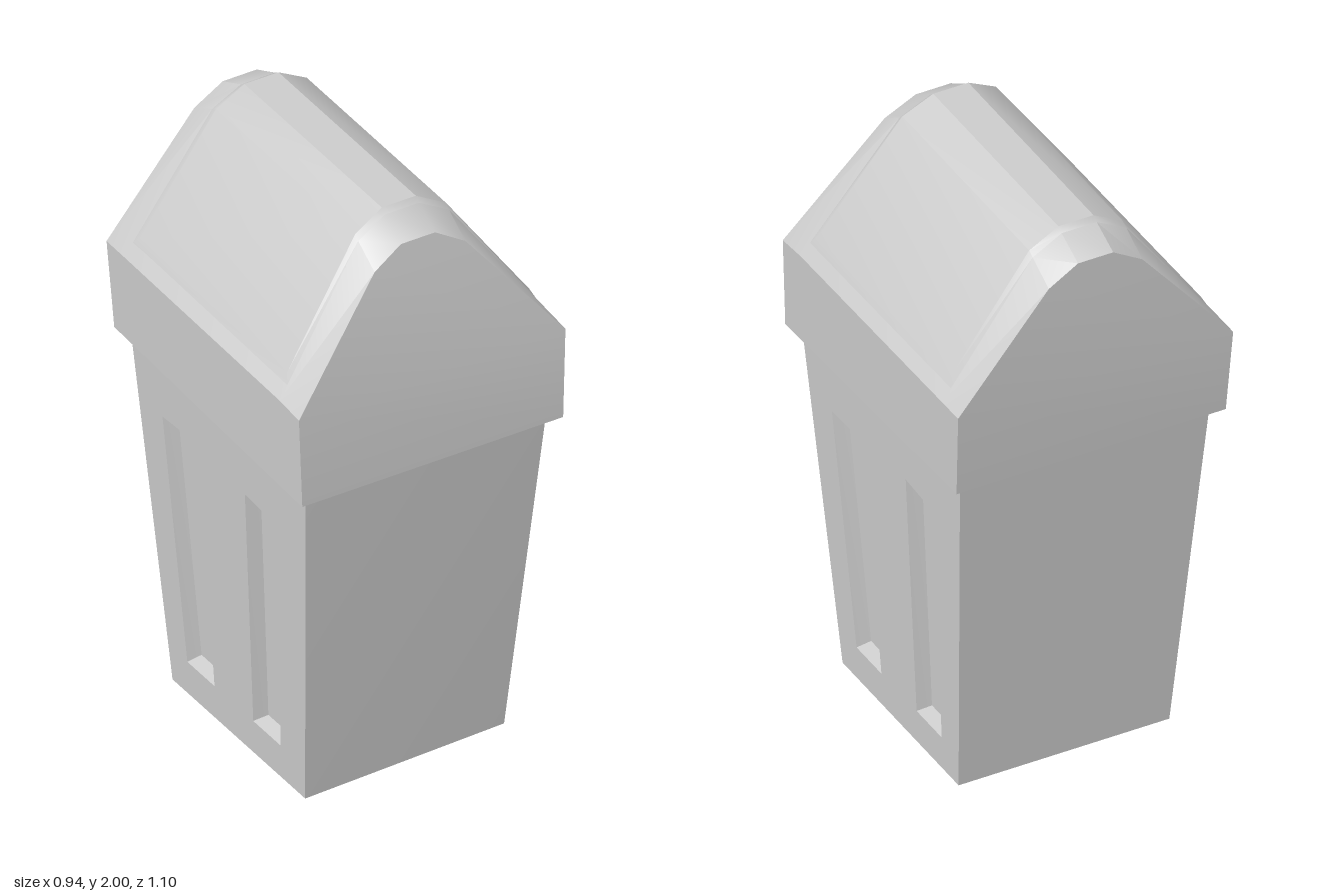
import * as THREE from 'three';
import { toCreasedNormals } from 'three/addons/utils/BufferGeometryUtils.js';

const V = (x, y, z) => new THREE.Vector3(x, y, z);

// Collects triangles and quads given counter-clockwise from outside
class Faces {
  constructor() { this.pos = []; }
  poly(points, flip = false) {
    const p = flip ? [...points].reverse() : points;
    for (let i = 1; i < p.length - 1; i++) {
      const area = V().crossVectors(p[i].clone().sub(p[0]), p[i + 1].clone().sub(p[0]));
      if (area.length() < 1e-8) continue;
      for (const q of [p[0], p[i], p[i + 1]]) this.pos.push(q.x, q.y, q.z);
    }
  }
  mesh(name, crease) {
    const geo = new THREE.BufferGeometry();
    geo.setAttribute('position', new THREE.Float32BufferAttribute(this.pos, 3));
    geo.computeVertexNormals();
    const mesh = new THREE.Mesh(toCreasedNormals(geo, crease),
      new THREE.MeshStandardMaterial({ color: 0xcccccc }));
    mesh.name = name;
    return mesh;
  }
}

// Half profile (right side, from the bottom up) mirrored into a full arch
const arch = (half) => {
  const right = half.map((p) => V(...p));
  return [...right, ...right.map((p) => V(-p.x, p.y, p.z)).reverse()];
};

// Skins arches ordered from front to back
function loft(faces, rings, closed) {
  const n = rings[0].length;
  for (let i = 0; i < rings.length - 1; i++) {
    for (let j = 0; j < (closed ? n : n - 1); j++) {
      const k = (j + 1) % n;
      faces.poly([rings[i][j], rings[i + 1][j], rings[i + 1][k], rings[i][k]]);
    }
  }
}

function capEnd(faces, ring, flip) {
  const n = ring.length;
  for (let j = 0; j < n / 2 - 1; j++) {
    faces.poly([ring[j], ring[j + 1], ring[n - 2 - j], ring[n - 1 - j]], flip);
  }
}

// Tapered bin body with two sunken slots in each side
function buildBody() {
  const faces = new Faces();
  const halfWidth = (y) => 0.36 + 0.055 * y;
  const slotDepth = 0.045;
  // Each slot: outer rim and floor, as (z, y)
  const slots = [
    { rim: [[0.12, 0.12], [0.275, 0.12], [0.345, 0.96], [0.148, 0.97]],
      floor: [[0.135, 0.135], [0.265, 0.135], [0.325, 0.93], [0.165, 0.94]] },
    { rim: [[-0.255, 0.12], [-0.1, 0.12], [-0.12, 1.0], [-0.32, 0.985]],
      floor: [[-0.245, 0.135], [-0.115, 0.135], [-0.14, 0.965], [-0.302, 0.965]] },
  ];
  const toVec = (list) => list.map((p) => new THREE.Vector2(...p));
  const frontFoot = { 1: 0.375, [-1]: 0.405 };

  for (const side of [1, -1]) {
    const flip = side > 0;
    const place = (z, y, depth = 0) => V(side * (halfWidth(y) - depth), y, z);
    const shape = new THREE.Shape(toVec(
      [[-0.35, 0], [frontFoot[side], 0], [0.51, 1.17], [-0.48, 1.208]]));
    slots.forEach((s) => shape.holes.push(new THREE.Path(toVec(s.rim))));

    // side panel around the slots
    const wall = new THREE.ShapeGeometry(shape).toNonIndexed().attributes.position;
    for (let i = 0; i < wall.count; i += 3) {
      faces.poly([0, 1, 2].map((k) => place(wall.getX(i + k), wall.getY(i + k))), flip);
    }
    // slot walls and floors
    for (const { rim, floor } of slots) {
      const outer = rim.map(([z, y]) => place(z, y));
      const inner = floor.map(([z, y]) => place(z, y, slotDepth));
      faces.poly(inner, flip);
      for (let k = 0; k < 4; k++) {
        const m = (k + 1) % 4;
        faces.poly([outer[k], outer[m], inner[m], inner[k]], flip);
      }
    }
  }

  // front, back and underside
  const corner = (s, y, z) => V(s * halfWidth(y), y, z);
  const frontL = corner(-1, 0, frontFoot[-1]), frontR = corner(1, 0, frontFoot[1]);
  const backL = corner(-1, 0, -0.35), backR = corner(1, 0, -0.35);
  faces.poly([frontL, frontR, corner(1, 1.17, 0.51), corner(-1, 1.17, 0.51)]);
  faces.poly([backR, backL, corner(-1, 1.208, -0.48), corner(1, 1.208, -0.48)]);
  faces.poly([backL, backR, frontR, frontL]);
  return faces.mesh('body', 0.3);
}

// Peaked lid with overhanging skirt and sloped ends
function buildLid() {
  const faces = new Faces();
  const base = (z) => [0.46, 1.17 + 0.04 * (0.55 - z) / 1.07, z];
  const rings = [
    [base(0.55), [0.47, 1.483, 0.547], [0.16, 1.87, 0.477], [0.06, 1.93, 0.466]],
    [base(0.44), [0.47, 1.493, 0.437], [0.16, 1.93, 0.384], [0.06, 1.985, 0.375]],
    [base(-0.43), [0.47, 1.507, -0.45], [0.16, 1.933, -0.447], [0.06, 1.987, -0.445]],
    [base(-0.52), [0.47, 1.508, -0.548], [0.16, 1.88, -0.548], [0.06, 1.94, -0.548]],
  ].map(arch);
  loft(faces, rings, true);
  capEnd(faces, rings[0], false);
  capEnd(faces, rings[3], true);
  return faces.mesh('lid', 0.48);
}

// Raised flap folded over the ridge, with bevelled edges
function buildFlap() {
  const faces = new Faces();
  const frontRim = [0.44, 1.535, 0.432], backRim = [0.44, 1.548, -0.448];
  const rings = [
    [frontRim, frontRim, [0.16, 1.93, 0.384], [0.06, 1.985, 0.375]],
    [frontRim, [0.427, 1.565, 0.41], [0.16, 1.945, 0.367], [0.06, 2, 0.357]],
    [backRim, [0.427, 1.575, -0.425], [0.16, 1.945, -0.425], [0.06, 2, -0.425]],
    [backRim, backRim, [0.16, 1.933, -0.447], [0.06, 1.987, -0.445]],
  ].map(arch);
  loft(faces, rings, false);
  return faces.mesh('flap', 0.48);
}

export function createModel() {
  const group = new THREE.Group();
  group.name = 'swingTopBin';
  group.add(buildBody(), buildLid(), buildFlap());
  return group;
}
